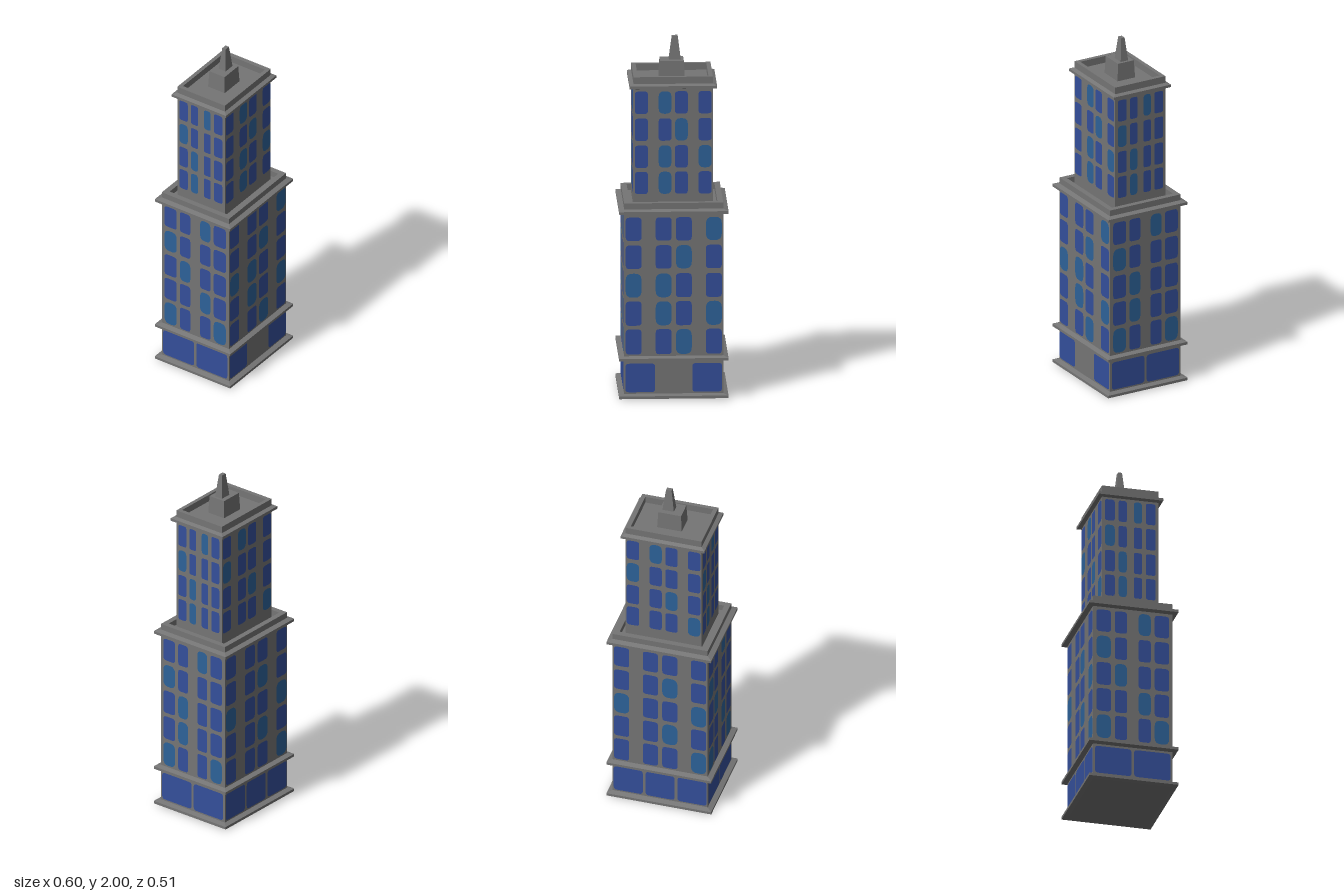
import * as THREE from 'three';
import { mergeGeometries } from 'three/addons/utils/BufferGeometryUtils.js';

const stone = new THREE.MeshStandardMaterial({ color: 0x757575 });
stone.name = 'grey stone';
const darkGlass = new THREE.MeshStandardMaterial({ color: 0x344f9b });
darkGlass.name = 'dark blue glass';
const lightGlass = new THREE.MeshStandardMaterial({ color: 0x2d6299 });
lightGlass.name = 'light blue glass';

// Stacks rectangular rings [halfWidth, halfDepth, y] into a capped, hard-edged solid
function loft(name, rings) {
  const corners = ([w, d, y]) => [[-w, y, d], [w, y, d], [w, y, -d], [-w, y, -d]];
  const pos = [];
  const quad = (a, b, c, d) => pos.push(...a, ...b, ...c, ...a, ...c, ...d);
  for (let i = 0; i < rings.length - 1; i++) {
    const lo = corners(rings[i]), hi = corners(rings[i + 1]);
    for (let k = 0; k < 4; k++) {
      const n = (k + 1) % 4;
      quad(lo[k], lo[n], hi[n], hi[k]);
    }
  }
  quad(...corners(rings[0]).reverse());
  quad(...corners(rings[rings.length - 1]));
  const geo = new THREE.BufferGeometry();
  geo.setAttribute('position', new THREE.Float32BufferAttribute(pos, 3));
  geo.computeVertexNormals();
  const mesh = new THREE.Mesh(geo, stone);
  mesh.name = name;
  return mesh;
}

// Projecting ledge with a sloped underside and top
function ledge(name, w, d, y, out) {
  return loft(name, [[w, d, y], [w + out, d + out, y + 0.006],
    [w + out, d + out, y + 0.021], [w, d, y + 0.029]]);
}

// Flat pane with rounded corners
function pane(x0, x1, y0, y1, r) {
  const s = new THREE.Shape();
  s.moveTo(x0 + r, y0);
  s.lineTo(x1 - r, y0);
  s.quadraticCurveTo(x1, y0, x1, y0 + r);
  s.lineTo(x1, y1 - r);
  s.quadraticCurveTo(x1, y1, x1 - r, y1);
  s.lineTo(x0 + r, y1);
  s.quadraticCurveTo(x0, y1, x0, y1 - r);
  s.lineTo(x0, y0 + r);
  s.quadraticCurveTo(x0, y0, x0 + r, y0);
  return new THREE.ShapeGeometry(s, 4);
}

// One wall of windows; pattern rows run top to bottom, 'o' marks light glass
function windowWall(name, angle, dist, cols, rows, pattern) {
  const group = new THREE.Group();
  group.name = name;
  group.rotation.y = angle;
  const sets = { x: [], o: [] };
  rows.forEach(([y0, y1], j) => cols.forEach(([x0, x1], i) => {
    const kind = pattern[j] ? pattern[j][i] : 'x';
    const r = (x1 - x0) * (kind === 'o' ? 0.42 : 0.25);
    sets[kind].push(pane(x0, x1, y0, y1, Math.min(r, 0.02 + (kind === 'o' ? 0.02 : 0))));
  }));
  for (const [kind, geos] of Object.entries(sets)) {
    if (!geos.length) continue;
    const mesh = new THREE.Mesh(mergeGeometries(geos), kind === 'o' ? lightGlass : darkGlass);
    mesh.name = kind === 'o' ? 'lightWindows' : 'darkWindows';
    mesh.position.z = dist + 0.002;
    group.add(mesh);
  }
  return group;
}

const sides = [
  ['front', 0], ['right', Math.PI / 2], ['back', Math.PI], ['left', -Math.PI / 2],
];

export function createModel() {
  const model = new THREE.Group();
  const W = 0.272, D = 0.225, w = 0.218, d = 0.16;

  // Lower tower with a raised roof edge around a sunken deck
  model.add(loft('lowerTower', [[W, D, 0], [W, D, 1.108], [W - 0.031, D - 0.031, 1.108],
    [W - 0.031, D - 0.031, 1.073]]));
  model.add(ledge('baseLedge', W, D, 0, 0.028));
  model.add(ledge('groundFloorLedge', W, D, 0.213, 0.028));
  model.add(ledge('lowerRoofLedge', W, D, 1.045, 0.028));

  // Upper tower
  model.add(loft('upperTower', [[w, d, 1.07], [w, d, 1.806], [w - 0.024, d - 0.022, 1.806],
    [w - 0.024, d - 0.022, 1.765]]));
  model.add(ledge('upperRoofLedge', w, d, 1.738, 0.022));

  // Roof house and spire
  const house = loft('roofHouse', [[0.071, 0.056, 1.76], [0.065, 0.051, 1.868]]);
  house.position.x = -0.002;
  const spire = loft('spire', [[0.033, 0.024, 1.865], [0.016, 0.011, 2]]);
  spire.position.x = 0.015;
  model.add(house, spire);

  // Window grids
  const lowerRows = [[0.896, 1.028], [0.737, 0.87], [0.574, 0.71], [0.415, 0.552], [0.252, 0.394]];
  const upperRows = [[1.598, 1.725], [1.445, 1.572], [1.292, 1.419], [1.144, 1.27]];
  const mirror = (a, b, c, e) => [[-e, -c], [-b, -a], [a, b], [c, e]];
  const lowerWide = mirror(0.012, 0.099, 0.177, 0.264);
  const lowerNarrow = mirror(0.033, 0.102, 0.124, 0.206);
  const upperWide = mirror(0.01, 0.08, 0.139, 0.211);
  const upperNarrow = mirror(0.02, 0.066, 0.088, 0.144);
  const lowerPatterns = {
    front: ['xxxo', 'xxox', 'ooxx', 'xoxo', 'xxox'],
    right: ['xxox', 'oxxx', 'xoxx', 'xoxx', 'oxxo'],
    back: ['xxxx', 'xxox', 'oxxo', 'xxox', 'xxxo'],
    left: ['xxox', 'oxxx', 'xoxx', 'xxox', 'oxxo'],
  };
  const upperPatterns = {
    front: ['xoxx', 'xxox', 'xoxo', 'xoxx'],
    right: ['xxox', 'oxxx', 'xoxx', 'xoxx'],
    back: ['xoxx', 'oxxx', 'xxox', 'xxxo'],
    left: ['xxox', 'oxxx', 'xoxx', 'xoxx'],
  };
  // Ground-floor shop panes; the front keeps a plain gap for the entrance
  const shopPanes = {
    front: [[-0.266, -0.102], [0.102, 0.266]],
    right: [[-0.215, -0.007], [0.007, 0.215]],
    back: [[-0.266, -0.099], [-0.083, 0.083], [0.099, 0.266]],
    left: [[-0.215, -0.007], [0.007, 0.215]],
  };
  for (const [side, angle] of sides) {
    const wide = side === 'front' || side === 'back';
    model.add(windowWall(side + 'LowerWindows', angle, wide ? D : W,
      wide ? lowerWide : lowerNarrow, lowerRows, lowerPatterns[side]));
    model.add(windowWall(side + 'UpperWindows', angle, wide ? d : w,
      wide ? upperWide : upperNarrow, upperRows, upperPatterns[side]));
    model.add(windowWall(side + 'ShopWindows', angle, wide ? D : W,
      shopPanes[side], [[0.038, 0.2]], []));
  }
  return model;
}
